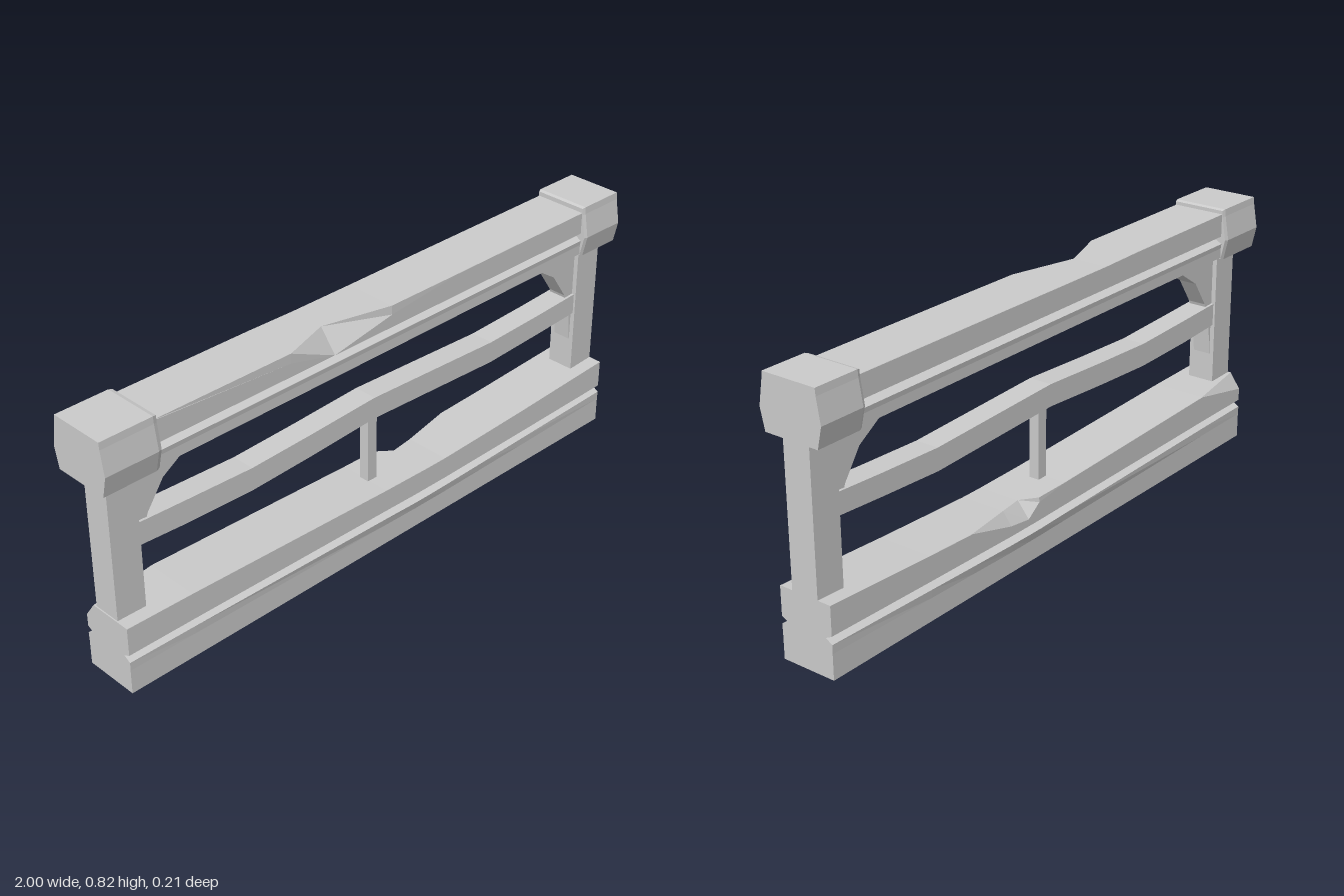
import * as THREE from 'three';

const material = new THREE.MeshStandardMaterial({ color: 0xcccccc, flatShading: true });

function addMesh(group, name, geometry) {
  const mesh = new THREE.Mesh(geometry, material);
  mesh.name = name;
  group.add(mesh);
  return mesh;
}

// Solid along x from sections { x, ring }, ring = [z, y] points running top, front, bottom, back
function loft(sections) {
  const pos = [];
  const put = (s, i) => pos.push(s.x, s.ring[i][1], s.ring[i][0]);
  const n = sections[0].ring.length;
  for (let k = 0; k < sections.length - 1; k++) {
    const s = sections[k], t = sections[k + 1];
    for (let i = 0; i < n; i++) {
      const j = (i + 1) % n;
      put(s, i); put(s, j); put(t, j);
      put(s, i); put(t, j); put(t, i);
    }
  }
  const endCap = (s, flip) => {
    const outline = s.ring.map(([z, y]) => new THREE.Vector2(y, z));
    for (const [a, b, c] of THREE.ShapeUtils.triangulateShape(outline, [])) {
      put(s, a); put(s, flip ? c : b); put(s, flip ? b : c);
    }
  };
  endCap(sections[0], true);
  endCap(sections[sections.length - 1], false);
  const geometry = new THREE.BufferGeometry();
  geometry.setAttribute('position', new THREE.Float32BufferAttribute(pos, 3));
  geometry.computeVertexNormals();
  return geometry;
}

// Beam section: a carved groove and swollen lower lip on both faces, chips on the top edges
function beamRing({ top, bottom, groove, half, lip, lipDrop, front = [0, 0], back = [0, 0] }) {
  const side = ([inset, drop]) => [
    [half - Math.max(inset, 0.001), top],
    [half, top - Math.max(drop, 0.001)],
    [half, groove + 0.011],
    [half - 0.022, groove],
    [lip, groove - 0.013],
    [half, groove - lipDrop],
    [half, bottom],
  ];
  const mirrored = side(back).reverse().map(([z, y]) => [-z, y]);
  return [...side(front), ...mirrored];
}

export function createModel() {
  const model = new THREE.Group();
  model.name = 'railing';

  // Base beam: x, top height, groove height, lip, back chip [inset, drop]
  const base = [
    [-0.965, 0.22, 0.119, 0.09, [0.035, 0.05]],
    [-0.74, 0.215, 0.117, 0.091, [0, 0]],
    [0.0, 0.191, 0.107, 0.095, [0, 0]],
    [0.12, 0.189, 0.105, 0.096, [0, 0.015]],
    [0.17, 0.188, 0.105, 0.096, [0.04, 0.05]],
    [0.25, 0.188, 0.105, 0.095, [0.03, 0.04]],
    [0.42, 0.194, 0.108, 0.094, [0, 0]],
    [0.6, 0.201, 0.111, 0.092, [0, 0]],
    [0.985, 0.22, 0.119, 0.09, [0, 0]],
  ];
  addMesh(model, 'baseBeam', loft(base.map(([x, top, groove, lip, back]) => ({
    x, ring: beamRing({ top, bottom: 0, groove, half: 0.089, lip, lipDrop: 0.04, back }),
  }))));

  // Handrail: x, top height, front chip [inset, drop]
  const handrail = [
    [-0.84, 0.808, [0, 0]],
    [-0.36, 0.806, [0, 0.03]],
    [-0.2, 0.803, [0.055, 0.068]],
    [0.02, 0.803, [0, 0.028]],
    [0.3, 0.804, [0, 0]],
    [0.86, 0.805, [0, 0]],
  ];
  addMesh(model, 'handrail', loft(handrail.map(([x, top, front]) => ({
    x, ring: beamRing({ top, bottom: 0.665, groove: 0.724, half: 0.086, lip: 0.088, lipDrop: 0.028, front }),
  }))));

  // Swollen end blocks with a slim bevel on the inner edge
  const blockRing = (s) => [
    [0.09, 0.822], [0.092, 0.8], [0.105, 0.724], [0.09, 0.658],
    [-0.09, 0.658], [-0.105, 0.724], [-0.092, 0.8], [-0.09, 0.822],
  ].map(([z, y]) => [z * s, 0.74 + (y - 0.74) * s]);
  addMesh(model, 'rightEndBlock', loft([
    { x: -1, ring: blockRing(1) }, { x: -0.83, ring: blockRing(1) }, { x: -0.818, ring: blockRing(0.96) },
  ]));
  addMesh(model, 'leftEndBlock', loft([
    { x: 0.84, ring: blockRing(0.96) }, { x: 0.85, ring: blockRing(1) }, { x: 1, ring: blockRing(1) },
  ]));

  // Posts
  for (const [name, x] of [['rightPost', -0.913], ['leftPost', 0.937]]) {
    addMesh(model, name, new THREE.BoxGeometry(0.096, 0.48, 0.09)).position.set(x, 0.44, 0);
  }

  // Wavy middle rail: x, bottom, top
  const wave = [
    [-0.88, 0.415, 0.487], [-0.7, 0.404, 0.479], [-0.47, 0.397, 0.47], [-0.25, 0.406, 0.478],
    [0, 0.42, 0.49], [0.25, 0.41, 0.48], [0.5, 0.4, 0.47], [0.72, 0.41, 0.478], [0.9, 0.42, 0.487],
  ];
  addMesh(model, 'middleRail', loft(wave.map(([x, low, high]) => ({
    x, ring: [[0.038, high], [0.038, low], [-0.038, low], [-0.038, high]],
  }))));

  // Centre strut
  addMesh(model, 'centreStrut', new THREE.BoxGeometry(0.036, 0.25, 0.034)).position.set(0.012, 0.305, 0);

  // Curved corner braces, mirrored about the middle of the span
  const curve = [
    [0.88, 0.29], [0.866, 0.415], [0.838, 0.495], [0.78, 0.58], [0.675, 0.648], [0.565, 0.67], [0.88, 0.67],
  ];
  for (const [name, side] of [['rightBrace', -1], ['leftBrace', 1]]) {
    const shape = new THREE.Shape(curve.map(([x, y]) => new THREE.Vector2(0.0125 + side * x, y)));
    const geometry = new THREE.ExtrudeGeometry(shape, { depth: 0.06, bevelEnabled: false });
    addMesh(model, name, geometry.translate(0, 0, -0.03));
  }

  return model;
}
